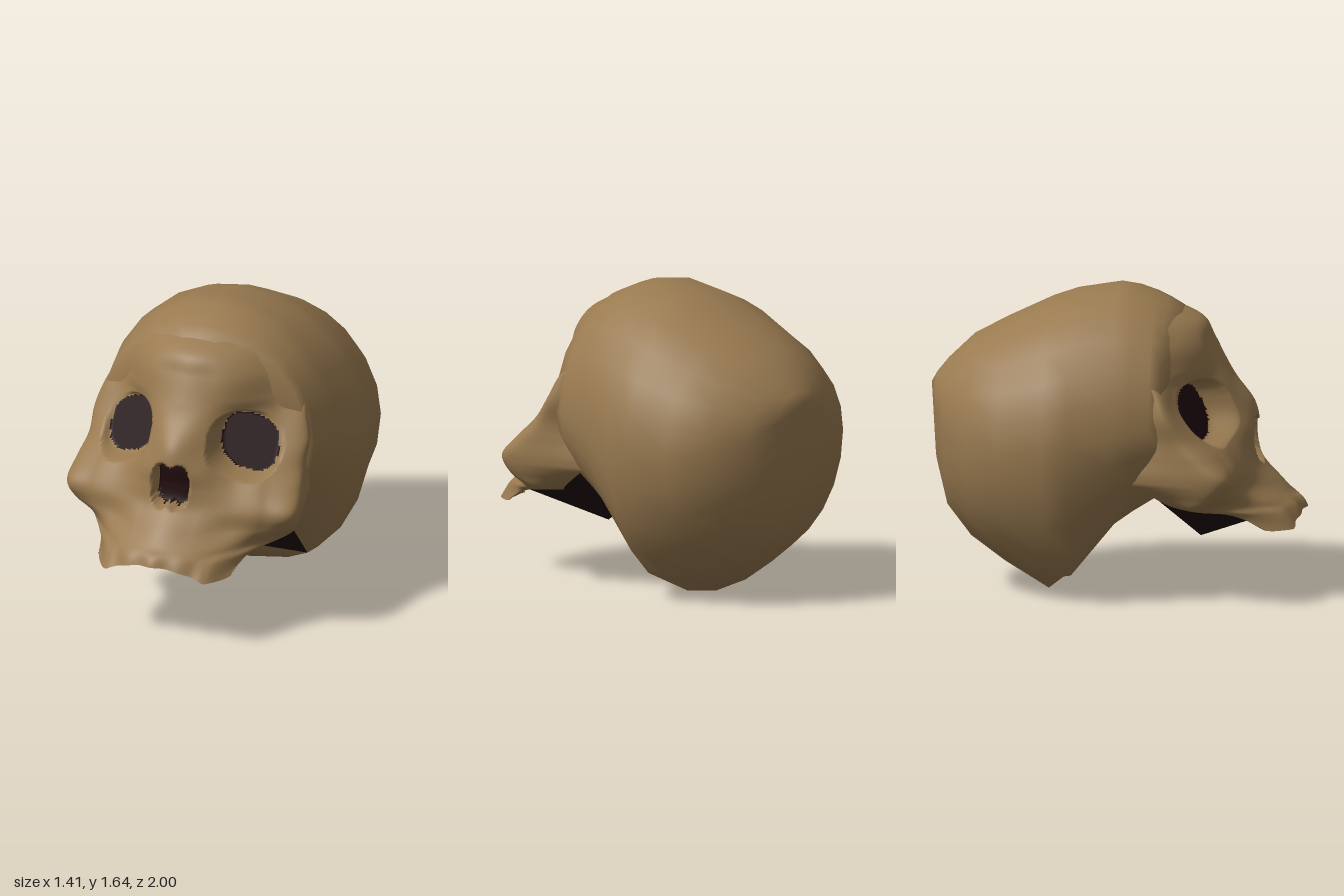
import * as THREE from 'three';
import { mergeVertices } from 'three/addons/utils/BufferGeometryUtils.js';
import { ConvexGeometry } from 'three/addons/geometries/ConvexGeometry.js';

const { clamp, smoothstep, lerp } = THREE.MathUtils;

// Grid surface; faces are sorted into two material groups by isDark(i, j)
function gridSurface(nu, nv, pointAt, isDark) {
  const pos = [], plain = [], dark = [];
  for (let j = 0; j <= nv; j++)
    for (let i = 0; i <= nu; i++) pos.push(...pointAt(i, j));
  for (let j = 0; j < nv; j++)
    for (let i = 0; i < nu; i++) {
      const a = j * (nu + 1) + i, b = a + nu + 1;
      (isDark(i, j) ? dark : plain).push(a, b, a + 1, b, b + 1, a + 1);
    }
  let g = new THREE.BufferGeometry();
  g.setAttribute('position', new THREE.Float32BufferAttribute(pos, 3));
  g.setIndex([...plain, ...dark]);
  g = mergeVertices(g, 1e-4);
  g.clearGroups();
  g.addGroup(0, plain.length, 0);
  g.addGroup(plain.length, dark.length, 1);
  g.computeVertexNormals();
  return g;
}

// Catmull-Rom through values at(0), at(1), ...
function smooth(at, f, last) {
  const i = Math.min(Math.floor(f), last - 1), t = f - i;
  const [a, b, c, d] = [at(i - 1), at(i), at(i + 1), at(Math.min(i + 2, last))];
  return b + 0.5 * t * (c - a + t * (2 * a - 5 * b + 4 * c - d + t * (3 * (b - c) + d - a)));
}

// Braincase sections: z, half width, top, widest height, bottom
const SECTIONS = [
  [0.36, 0.02, 1.42, 1.4, 1.38],
  [0.34, 0.28, 1.52, 1.3, 1.2],
  [0.26, 0.59, 1.56, 0.98, 0.58],
  [0.2, 0.61, 1.59, 0.96, 0.54],
  [0.1, 0.635, 1.625, 0.94, 0.48],
  [0, 0.66, 1.64, 0.92, 0.41],
  [-0.23, 0.7, 1.6, 0.88, 0.13],
  [-0.36, 0.705, 1.555, 0.85, 0],
  [-0.6, 0.655, 1.44, 0.83, 0.14],
  [-0.78, 0.53, 1.345, 0.85, 0.27],
  [-0.91, 0.34, 1.22, 0.9, 0.43],
  [-0.97, 0.18, 1.145, 1.0, 0.67],
  [-1, 0, 1.09, 1.09, 1.09],
];

// Face rows: height, half width, then depth z at 0, 1/4, 1/2, 3/4 and full width
const ROWS = [
  [1.54, 0.3, 0.27, 0.26, 0.22, 0.15, 0.08],
  [1.46, 0.35, 0.445, 0.43, 0.385, 0.31, 0.19],
  [1.36, 0.46, 0.505, 0.485, 0.44, 0.33, 0.15],
  [1.24, 0.53, 0.565, 0.535, 0.45, 0.32, 0.16],
  [1.15, 0.575, 0.615, 0.575, 0.43, 0.32, 0.24],
  [1.02, 0.615, 0.715, 0.63, 0.47, 0.39, 0.29],
  [0.9, 0.615, 0.745, 0.695, 0.57, 0.5, 0.36],
  [0.8, 0.64, 0.745, 0.71, 0.64, 0.59, 0.46],
  [0.7, 0.66, 0.77, 0.735, 0.69, 0.65, 0.55],
  [0.6, 0.63, 0.86, 0.81, 0.72, 0.65, 0.52],
  [0.52, 0.56, 0.93, 0.9, 0.82, 0.67, 0.46],
  [0.47, 0.43, 0.965, 0.945, 0.91, 0.84, 0.64],
  [0.38, 0.38, 1.0, 0.985, 0.965, 0.945, 0.8],
];

// Distance measures that are below 1 inside an opening
const eyeHole = (x, y) => {
  const dx = Math.abs(x) - 0.335;
  return Math.pow(Math.abs(dx / 0.152) ** 2.5 + Math.abs((y - 1.01 + 0.25 * dx) / 0.14) ** 2.5, 0.4);
};
const noseHole = (x, y) =>
  Math.pow(Math.abs(x / 0.102) ** 3 + Math.abs((y - 0.815) / 0.124) ** 3, 1 / 3) +
  0.3 * Math.max(0, 1 - Math.abs(x) / 0.04) * clamp(Math.abs(y - 0.815) / 0.1 - 0.3, 0, 1);

function facePoint(u, v) {
  const last = ROWS.length - 1, s = Math.abs(u);
  const row = k => smooth(r => ROWS[Math.max(r, 0)][k], v, last);
  const rowY = row(0), w = row(1);
  // the sixth column wraps the cheek back towards the braincase
  const wrapZ = 0.1 + 0.22 * clamp((0.66 - rowY) / 0.14, 0, 1) + 0.42 * smoothstep(0.52 - rowY, 0, 0.12);
  const spread = k => (k < 5 ? k / 4 : 0.83);
  const depth = k => (k < 5 ? row(k + 2) : wrapZ);
  const x = Math.sign(u) * w * smooth(spread, s, 5);
  let z = smooth(k => depth(Math.abs(k)), s, 5);
  // arched, slightly ribbed tooth edge, rising towards the back
  const edge = smoothstep(0.55 - rowY, 0, 0.17);
  const y = rowY + edge * (0.07 * Math.max(0, 1 - (x / 0.28) ** 2) + 0.05 * smoothstep(s, 3.5, 5));
  if (s < 4) z += 0.006 * edge * (Math.cos(x * 42) - 1);
  // sunken sockets: the eyes have a tilted floor
  if (s < 4.2) {
    const floor = 0.42 - 0.45 * (y - 1) - 0.35 * (Math.abs(x) - 0.335);
    z = lerp(Math.min(z, floor), z, smoothstep(eyeHole(x, y), 0.97, 1.14));
    z -= 0.08 * (1 - smoothstep(noseHole(x, y), 0.93, 1.04));
  }
  return [x, y, z];
}

export function createModel() {
  const skull = new THREE.Group();
  skull.name = 'skull';
  const bone = new THREE.MeshStandardMaterial({ color: 0x997a50, side: THREE.DoubleSide });
  bone.name = 'bone';
  const hollow = new THREE.MeshStandardMaterial({ color: 0x200a0c, side: THREE.DoubleSide });
  hollow.name = 'hollow';
  const add = (name, geometry, material) => {
    const mesh = new THREE.Mesh(geometry, material);
    mesh.name = name;
    skull.add(mesh);
  };

  // Braincase, with a flat base in front and the dark opening in it
  const N = 24;
  add('braincase', gridSurface(N, SECTIONS.length - 1, (i, j) => {
    const [z, w, top, mid, bottom] = SECTIONS[j];
    const a = (i % N) / N * Math.PI * 2 - Math.PI / 2, c = Math.cos(a);
    let s = Math.sin(a);
    const power = s < 0 && z > -0.4 ? 0.85 : 1;
    if (z > -0.3) s = Math.max(s / (s < 0 ? 0.866 : 1), -1);
    return [w * Math.sign(c) * Math.abs(c) ** power, mid + s * (s > 0 ? top - mid : mid - bottom), z];
  }, (i, j) => j >= 2 && j < 6 && (i < 2 || i >= N - 2)), [bone, hollow]);

  // Face: brow, sockets, cheekbones and upper jaw
  const H = 70, V = 144;
  const at = (i, j) => facePoint((i - H) / H * 5, j / V * (ROWS.length - 1));
  add('face', gridSurface(2 * H, V, at, (i, j) => {
    const u = (i + 0.5 - H) / H * 5;
    const [x, y] = facePoint(u, (j + 0.5) / V * (ROWS.length - 1));
    return Math.abs(u) < 4 && (eyeHole(x, y) < 0.96 || noseHole(x, y) < 0.93);
  }), [bone, hollow]);

  // Dark hollow behind the jaw and under the cheekbones
  const points = [new THREE.Vector3(0, 0.28, 0.43)];
  for (const side of [-1, 1])
    for (const [x, y, z] of [
      [0.27, 0.44, 0.76], [0.2, 0.5, 0.82], [0.2, 0.41, 0.45], [0.38, 0.56, 0.5],
      [0.45, 0.7, 0.4], [0.45, 0.6, 0.28], [0.3, 0.54, 0.21], [0.3, 0.7, 0.15],
    ]) points.push(new THREE.Vector3(side * x, y, z));
  add('jawHollow', new ConvexGeometry(points), hollow);

  return skull;
}
